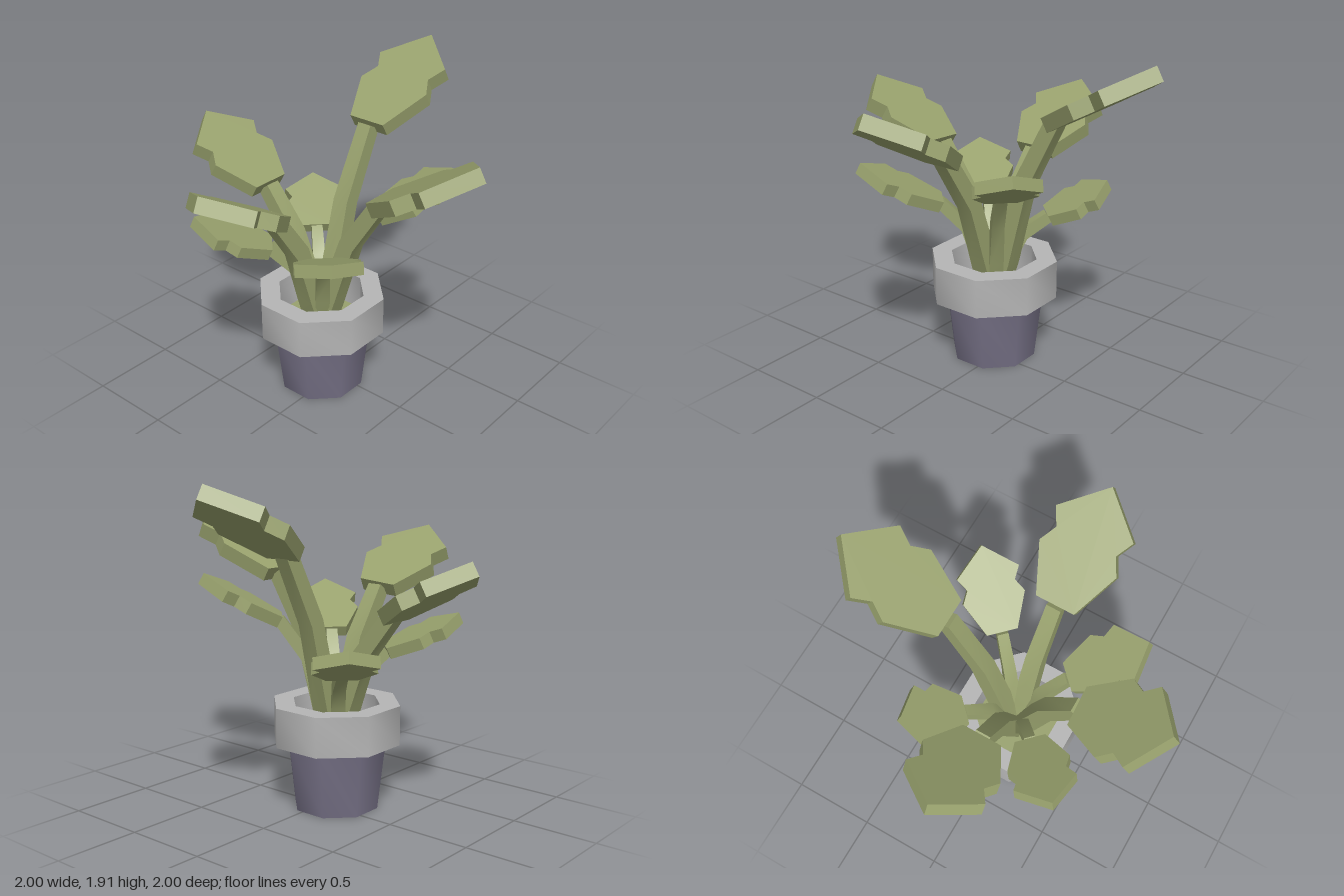
import * as THREE from 'three';
import { toCreasedNormals } from 'three/addons/utils/BufferGeometryUtils.js';

const material = (name, hex) => {
  const m = new THREE.MeshStandardMaterial({ color: hex });
  m.name = name;
  return m;
};

function named(name, geometry, mat) {
  const mesh = new THREE.Mesh(geometry, mat);
  mesh.name = name;
  return mesh;
}

// Eight-sided turned shape; radii are measured to the flat sides
function octagon(profile) {
  const k = 1 / Math.cos(Math.PI / 8);
  const pts = profile.map(([r, y]) => new THREE.Vector2(r * k, y));
  return toCreasedNormals(new THREE.LatheGeometry(pts, 8, Math.PI / 8), 0.9);
}

// Square tapered stalk bent along a path of [outward, up] points
function stalkGeometry(path, w0, w1) {
  const n = path.length - 1;
  const geo = new THREE.BoxGeometry(1, 1, 1, 1, n, 1);
  const pos = geo.attributes.position;
  for (let i = 0; i < pos.count; i++) {
    const t = pos.getY(i) + 0.5;
    const k = Math.round(t * n);
    const [ax, ay] = path[Math.max(k - 1, 0)];
    const [bx, by] = path[Math.min(k + 1, n)];
    const len = Math.hypot(bx - ax, by - ay);
    const w = w0 + (w1 - w0) * t;
    const out = pos.getX(i) * w / len;
    pos.setXYZ(i, path[k][0] + (by - ay) * out, path[k][1] - (bx - ax) * out, pos.getZ(i) * w);
  }
  return toCreasedNormals(geo, 0.6);
}

// Thick blade with a notch on each side and a pointed tip
function bladeGeometry(length, halfWidth, thickness) {
  const half = [[0, 0.5], [0.4, 1], [0.545, 0.77], [0.69, 1]];
  const outline = [
    ...half.map(([x, y]) => [x, -y]),
    [1, 0],
    ...half.slice().reverse(),
  ].map(([x, y]) => new THREE.Vector2(x * length, y * halfWidth));
  const geo = new THREE.ExtrudeGeometry(new THREE.Shape(outline), { depth: thickness, bevelEnabled: false });
  return geo.translate(0, 0, -thickness / 2).rotateX(-Math.PI / 2);
}

export function createModel() {
  const green = material('leaf green', 0x98a16d);
  const grey = material('rim grey', 0xb5b5b5);
  const purple = material('pot purple', 0x757085);

  const plant = new THREE.Group();
  plant.name = 'pottedPlant';

  // Pot
  plant.add(named('potBody', octagon([[0, 0], [0.233, 0], [0.275, 0.4], [0, 0.4]]), purple));
  plant.add(named('potRim', octagon([[0.24, 0.395], [0.352, 0.395], [0.352, 0.627], [0.24, 0.627], [0.24, 0.395]]), grey));
  plant.add(named('soil', octagon([[0.24, 0.42], [0, 0.42]]), green));

  // Leaves: yaw in eighths of a turn, blade base and tip as [outward, up], size, roll
  const large = { halfWidth: 0.235, thick: 0.085, w0: 0.12, w1: 0.088 };
  const small = { halfWidth: 0.178, thick: 0.068, w0: 0.09, w1: 0.065 };
  const leaves = [
    [0, [0.425, 1.525], [1.035, 1.875], large, 0],
    [2, [0.40, 1.175], [0.915, 1.475], large, 0],
    [4, [0.39, 1.245], [0.92, 1.543], large, 0.09],
    [6, [0.435, 1.335], [1.04, 1.685], large, 0],
    [1, [0.32, 0.86], [0.68, 1.035], small, 0],
    [3, [0.29, 0.92], [0.72, 1.105], small, 0],
    [5, [0.31, 0.975], [0.77, 1.2], small, 0],
    [7, [0.325, 1.11], [0.76, 1.35], small, 0],
  ];
  for (const [eighth, base, tip, size, roll] of leaves) {
    const leaf = new THREE.Group();
    leaf.name = size === large ? 'largeLeaf' : 'smallLeaf';
    leaf.rotation.y = eighth * Math.PI / 4;

    const foot = 0.63;
    const path = [
      [0.02, 0.42],
      [0.095, foot],
      [base[0] * 0.52, foot + (base[1] - foot) * 0.55],
      base,
    ];
    leaf.add(named('stalk', stalkGeometry(path, size.w0, size.w1), green));

    const dx = tip[0] - base[0];
    const dy = tip[1] - base[1];
    const blade = bladeGeometry(Math.hypot(dx, dy), size.halfWidth, size.thick);
    blade.rotateX(roll).rotateZ(Math.atan2(dy, dx)).translate(base[0], base[1], 0);
    leaf.add(named('blade', blade, green));
    plant.add(leaf);
  }

  plant.position.set(-0.06, 0, -0.057);
  const model = new THREE.Group();
  model.name = 'model';
  model.add(plant);
  return model;
}
